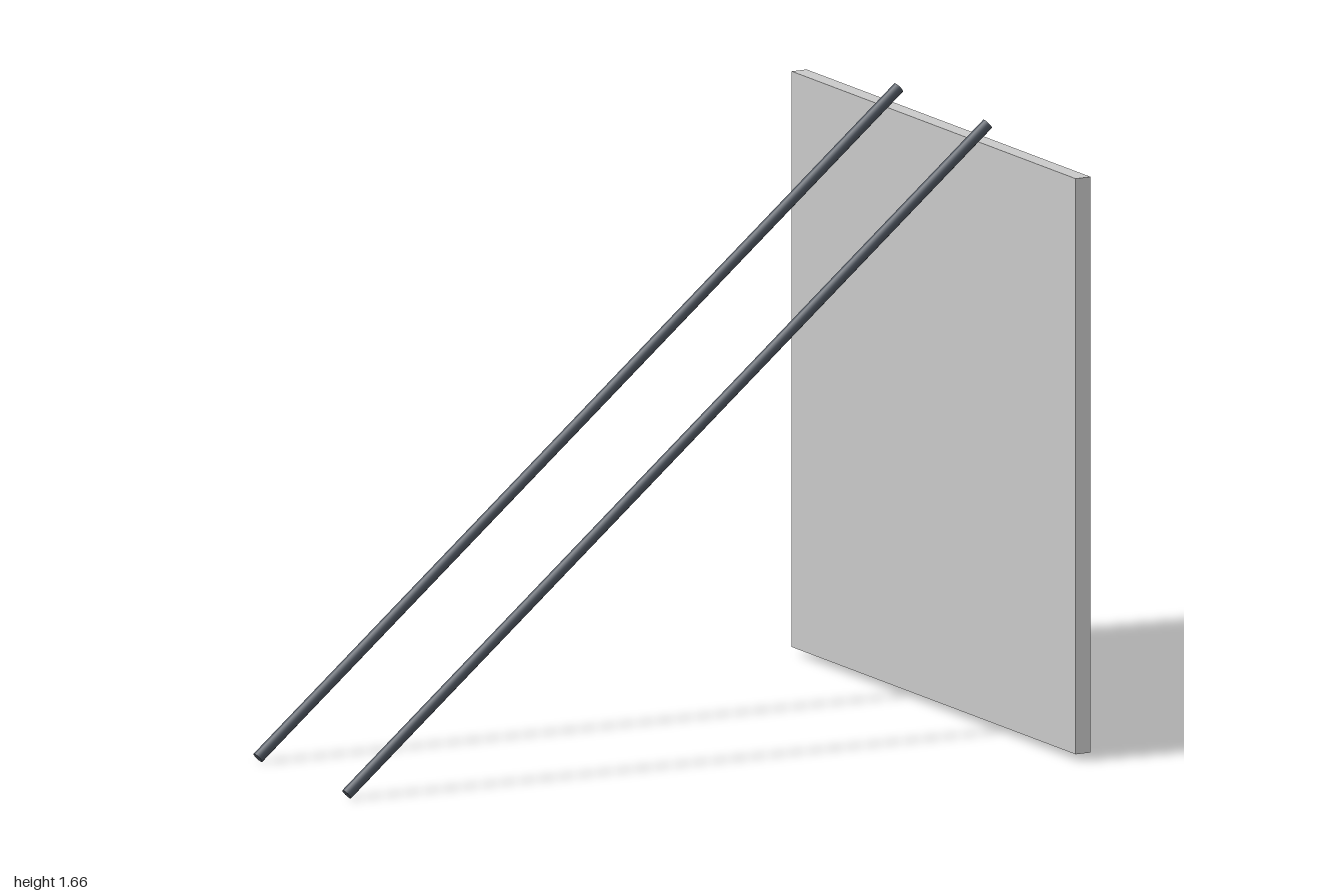
import * as THREE from 'three';

export function createModel() {
  const model = new THREE.Group();
  const panelGrey = new THREE.MeshStandardMaterial({ name: 'panelGrey', color: 0xc8c8c8 });
  const poleSlate = new THREE.MeshStandardMaterial({ name: 'poleSlate', color: 0x4b525c });

  // upright square panel, turned slightly about the vertical
  const panel = new THREE.Mesh(new THREE.BoxGeometry(0.046, 1.58, 1.525), panelGrey);
  panel.name = 'panel';
  panel.position.set(0.947, 0.81, 0);
  panel.rotation.y = THREE.MathUtils.degToRad(2);
  model.add(panel);

  // two parallel sloping poles leaning over the top edge of the panel
  const foot = new THREE.Vector3(-0.99, 0.0125, 0);
  const tip = new THREE.Vector3(0.953, 1.65, 0);
  const along = tip.clone().sub(foot);
  const poleGeometry = new THREE.CylinderGeometry(0.016, 0.016, along.length(), 16);
  for (const [name, z] of [['leftPole', 0.254], ['rightPole', -0.254]]) {
    const pole = new THREE.Mesh(poleGeometry, poleSlate);
    pole.name = name;
    pole.position.copy(foot).add(tip).multiplyScalar(0.5).setZ(z);
    pole.quaternion.setFromUnitVectors(new THREE.Vector3(0, 1, 0), along.clone().normalize());
    model.add(pole);
  }
  return model;
}
